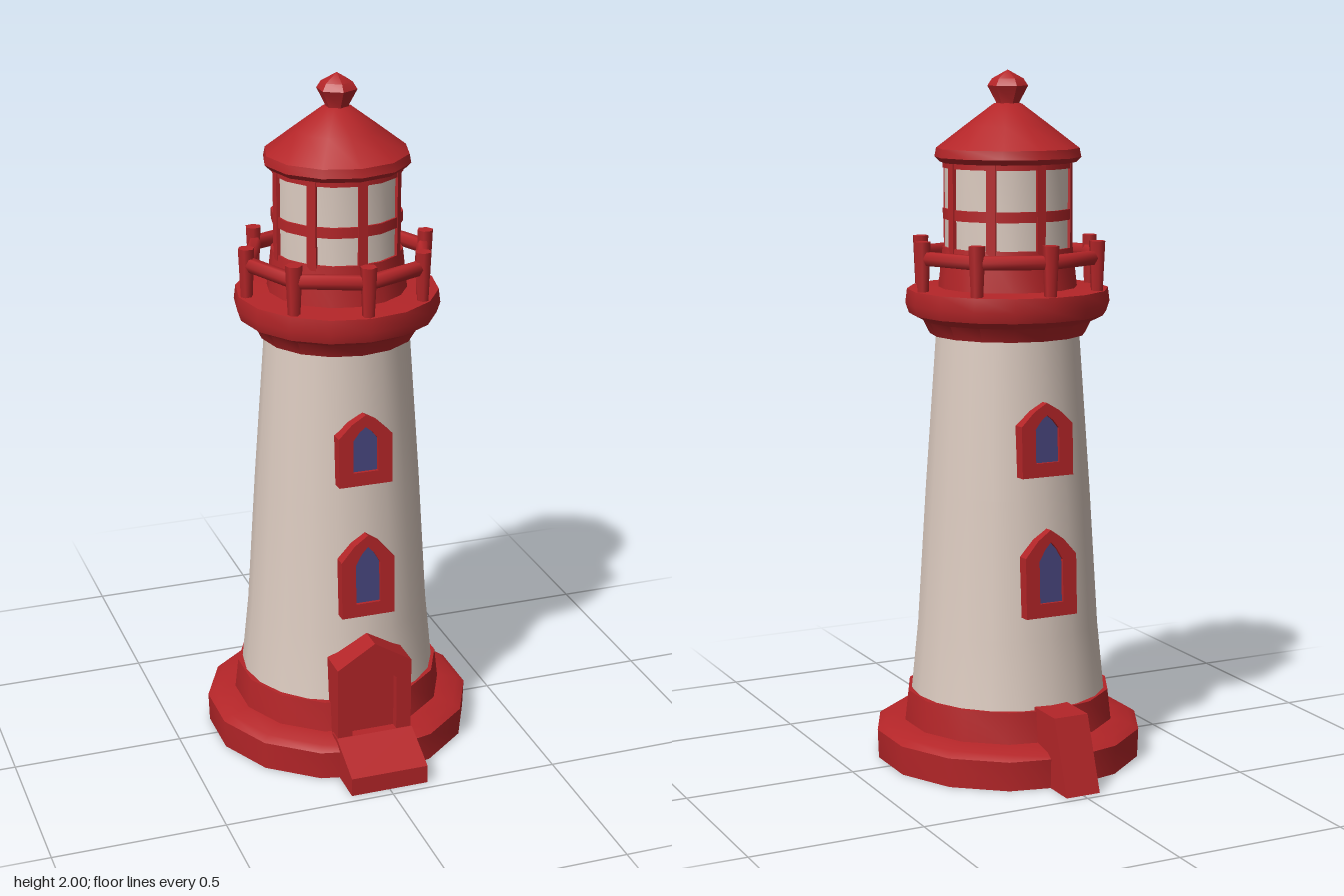
import * as THREE from 'three';
import { toCreasedNormals } from 'three/addons/utils/BufferGeometryUtils.js';

export function createModel() {
  const root = new THREE.Group();
  root.name = 'lighthouse';
  const material = (name, color, side = THREE.FrontSide) => {
    const m = new THREE.MeshStandardMaterial({ color, side });
    m.name = name;
    return m;
  };
  const red = material('red paint', 0xb42528);
  const white = material('warm white plaster', 0xdccbc0, THREE.DoubleSide);
  const blue = material('blue glass', 0x48467f);

  const add = (name, geometry, mat, parent = root) => {
    const mesh = new THREE.Mesh(geometry, mat);
    mesh.name = name;
    parent.add(mesh);
    return mesh;
  };
  const vectors = (pts) => pts.map(([x, y]) => new THREE.Vector2(x, y));
  const lathe = (name, pts, sides, mat) =>
    add(name, toCreasedNormals(new THREE.LatheGeometry(vectors(pts), sides), 0.68), mat);
  const extrude = (shape, depth) =>
    new THREE.ExtrudeGeometry(shape, { depth, bevelEnabled: false });

  // Side profile given as [z, y], extruded across x
  const prism = (name, pts, width) => {
    const g = extrude(new THREE.Shape(vectors(pts)), width);
    g.translate(0, 0, -width / 2).rotateY(-Math.PI / 2);
    return add(name, g, red);
  };

  // Outline with a clipped, pointed top
  const pointed = (half, bottom, shoulder, peak) => vectors([
    [-half, bottom], [half, bottom], [half, shoulder],
    [half * 0.5, shoulder + (peak - shoulder) * 0.62], [0, peak],
    [-half * 0.5, shoulder + (peak - shoulder) * 0.62], [-half, shoulder],
  ]);

  // Hollow base skirt and tower wall
  lathe('base', [[0.275, 0.2], [0.31, 0], [0.39, 0], [0.393, 0.085],
    [0.37, 0.1], [0.31, 0.11], [0.3, 0.2], [0.275, 0.2]], 14, red);
  lathe('tower', [[0.287, 0.19], [0.266, 0.4], [0.241, 0.8], [0.208, 1.26]], 20, white);

  // Gallery platform and the red wall under the lantern
  lathe('gallery', [[0, 1.25], [0.225, 1.25], [0.245, 1.29], [0.285, 1.31],
    [0.295, 1.34], [0.29, 1.38], [0.2, 1.385], [0.187, 1.5], [0, 1.5]], 16, red);

  // Lantern room with glazing bars
  lathe('lantern', [[0.18, 1.48], [0.18, 1.76]], 16, white);
  for (const [y, h] of [[1.595, 0.03], [1.735, 0.02]]) {
    const band = add('lanternBand', new THREE.CylinderGeometry(0.186, 0.186, h, 16), red);
    band.position.y = y;
  }
  for (let i = 0; i < 8; i++) {
    const a = (i * Math.PI) / 4 + 0.07;
    const bar = add('lanternBar', new THREE.BoxGeometry(0.027, 0.26, 0.018), red);
    bar.position.set(Math.sin(a) * 0.178, 1.615, Math.cos(a) * 0.178);
    bar.rotation.y = a;
  }

  // Railing
  const rail = add('handrail', new THREE.TorusGeometry(0.262, 0.022, 6, 8), red);
  rail.rotation.x = Math.PI / 2;
  rail.position.y = 1.475;
  for (let i = 0; i < 8; i++) {
    const a = (i * Math.PI) / 4;
    const post = add('railPost', new THREE.CylinderGeometry(0.024, 0.017, 0.155, 6), red);
    post.position.set(Math.sin(a) * 0.267, 1.445, Math.cos(a) * 0.267);
    post.rotation.y = a;
  }

  // Roof and finial
  lathe('roof', [[0, 1.74], [0.195, 1.74], [0.21, 1.755], [0.205, 1.78],
    [0.12, 1.845], [0.04, 1.905], [0, 1.91]], 12, red);
  lathe('finial', [[0.032, 1.89], [0.034, 1.91], [0.058, 1.955], [0.045, 1.975], [0, 2]], 6, red);

  // Windows, two on the front and two on the back
  for (const turn of [0, Math.PI]) {
    const side = new THREE.Group();
    side.name = turn ? 'backWindows' : 'frontWindows';
    side.rotation.y = turn;
    root.add(side);
    for (const [y, h, z] of [[0.47, 0.25, 0.283], [0.87, 0.21, 0.256]]) {
      const win = new THREE.Group();
      win.name = 'window';
      win.position.set(0, y, z);
      win.rotation.x = -0.04;
      side.add(win);
      const frame = new THREE.Shape(pointed(0.08, 0, h * 0.7, h));
      frame.holes.push(new THREE.Path(pointed(0.037, 0.04, h * 0.65, h - 0.035)));
      add('windowFrame', extrude(frame, 0.06), red, win).position.z = -0.06;
      const pane = new THREE.Shape(pointed(0.04, 0.035, h * 0.66, h - 0.03));
      add('windowPane', extrude(pane, 0.008), blue, win).position.z = -0.018;
    }
  }

  // Gabled doorway with a recessed door
  const gable = (half, bottom, shoulder, peak) =>
    vectors([[-half, bottom], [half, bottom], [half, shoulder], [0, peak], [-half, shoulder]]);
  const doorway = new THREE.Shape(gable(0.113, 0.03, 0.335, 0.405));
  doorway.holes.push(new THREE.Path(gable(0.068, 0.09, 0.285, 0.335)));
  add('doorFrame', extrude(doorway, 0.1), red).position.z = 0.238;
  add('door', extrude(new THREE.Shape(gable(0.075, 0.08, 0.29, 0.345)), 0.05), red).position.z = 0.262;

  // Front step and rear buttress
  prism('frontStep', [[0.3, 0], [0.472, 0], [0.472, 0.055], [0.34, 0.115], [0.3, 0.115]], 0.232);
  prism('rearButtress', [[-0.475, 0], [-0.3, 0], [-0.27, 0.21], [-0.4, 0.21]], 0.105);

  return root;
}
